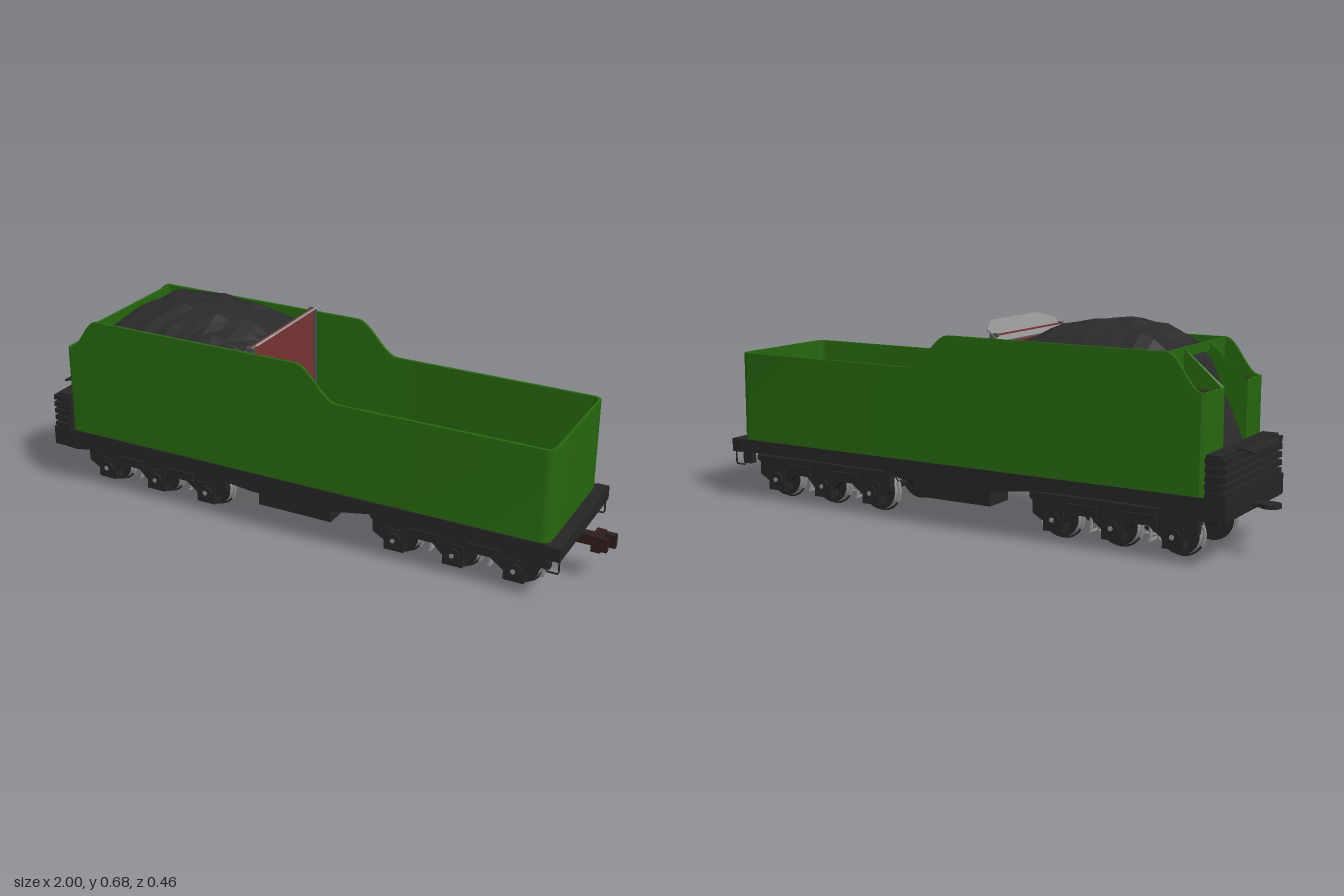
import * as THREE from 'three';
import { toCreasedNormals } from 'three/addons/utils/BufferGeometryUtils.js';

const mat = (name, color, side = THREE.FrontSide) => {
  const m = new THREE.MeshStandardMaterial({ color, side });
  m.name = name;
  return m;
};

export function createModel() {
  const root = new THREE.Group();
  root.name = 'tender';
  const green = mat('green paint', 0x27660f, THREE.DoubleSide);
  const black = mat('black iron', 0x252525);
  const coalMat = mat('coal', 0x2a2a2a, THREE.DoubleSide);
  const grey = mat('grey steel', 0x8e8e8e);
  const darkGrey = mat('dark grey frame', 0x4c4c4c);
  const red = mat('dark red', 0x783333);
  const brown = mat('brown coupler', 0x2e1d1c);

  const add = (parent, name, geo, m) => {
    const mesh = new THREE.Mesh(geo, m);
    mesh.name = name;
    parent.add(mesh);
    return mesh;
  };
  const box = (parent, name, m, x0, x1, y0, y1, z0, z1) => {
    const mesh = add(parent, name, new THREE.BoxGeometry(x1 - x0, y1 - y0, Math.abs(z1 - z0)), m);
    mesh.position.set((x0 + x1) / 2, (y0 + y1) / 2, (z0 + z1) / 2);
    return mesh;
  };
  const shape = pts => new THREE.Shape(pts.map(p => new THREE.Vector2(p[0], p[1])));
  // side profile in x/y, extruded over z0..z0+depth
  const slab = (parent, name, m, pts, z0, depth) => {
    const mesh = add(parent, name, new THREE.ExtrudeGeometry(shape(pts), { depth, bevelEnabled: false }), m);
    mesh.position.z = z0;
    return mesh;
  };
  const rod = (parent, name, m, a, b, r, sides = 8) => {
    const A = new THREE.Vector3(...a), B = new THREE.Vector3(...b);
    const mesh = add(parent, name, new THREE.CylinderGeometry(r, r, A.distanceTo(B), sides), m);
    mesh.position.copy(A).add(B).multiplyScalar(0.5);
    mesh.quaternion.setFromUnitVectors(new THREE.Vector3(0, 1, 0), B.sub(A).normalize());
    return mesh;
  };

  // ---- Tank shell: thin wall following the plan outline, top edge by a rule
  const smooth = THREE.MathUtils.smoothstep;
  const topY = x => 0.51 + 0.11 * (smooth(x, -0.835, -0.725) - smooth(x, 0.02, 0.165));
  const half = [[-0.72, 0.088], [-0.85, 0.088], [-0.85, 0.2], [-0.844, 0.214]];
  for (let i = 0; i <= 10; i++) half.push([-0.835 + i * 0.012, 0.22]);
  for (let i = 0; i <= 14; i++) half.push([0.01 + i * 0.012, 0.22]);
  for (let i = 0; i <= 5; i++) {
    const a = Math.PI / 2 * (1 - i / 5);
    half.push([0.835 + 0.03 * Math.cos(a), 0.19 + 0.03 * Math.sin(a)]);
  }
  const path = [...half, ...half.map(p => [p[0], -p[1]]).reverse()];
  const t = 0.01, pos = [];
  const section = path.map((p, i) => {
    const a = path[Math.max(i - 1, 0)], b = path[Math.min(i + 1, path.length - 1)];
    const l = Math.hypot(b[0] - a[0], b[1] - a[1]);
    const x = p[0] + t * (b[1] - a[1]) / l, z = p[1] - t * (b[0] - a[0]) / l, h = topY(p[0]);
    return [[p[0], 0.21, p[1]], [p[0], h, p[1]], [x, h, z], [x, 0.21, z]];
  });
  for (let i = 0; i + 1 < section.length; i++)
    for (let k = 0; k < 3; k++) {
      const a = section[i][k], b = section[i + 1][k], c = section[i + 1][k + 1], d = section[i][k + 1];
      pos.push(...a, ...b, ...c, ...a, ...c, ...d);
    }
  let shell = new THREE.BufferGeometry();
  shell.setAttribute('position', new THREE.Float32BufferAttribute(pos, 3));
  shell = toCreasedNormals(shell, 0.5);
  add(root, 'tankShell', shell, green);
  box(root, 'tankFloor', green, -0.84, 0.855, 0.21, 0.22, -0.21, 0.21);

  // ---- Lockers and bunker rim at the cab end
  for (const s of [1, -1]) {
    box(root, 'lockerTop', black, -0.84, -0.72, 0.49, 0.5, s * 0.095, s * 0.212);
    box(root, 'bunkerEndWall', green, -0.725, -0.715, 0.22, 0.618, s * 0.088, s * 0.212);
  }
  box(root, 'bunkerRim', green, -0.725, -0.715, 0.59, 0.618, -0.1, 0.1);
  slab(root, 'coalChute', coalMat, [[-0.84, 0.22], [-0.7, 0.22], [-0.7, 0.585], [-0.73, 0.57], [-0.84, 0.33]], -0.09, 0.18);

  // ---- Coal heap
  const heap = new THREE.PlaneGeometry(0.58, 0.42, 14, 9);
  heap.rotateX(-Math.PI / 2);
  const hp = heap.attributes.position;
  const noise = (i, j) => { const v = Math.sin(i * 12.99 + j * 78.23) * 43758.5; return v - Math.floor(v); };
  for (let i = 0; i < hp.count; i++) {
    const x = hp.getX(i) / 0.29, z = hp.getZ(i) / 0.21;
    const dome = (1 - Math.pow(Math.abs(x + 0.1 * (1 - x * x)), 2.6)) * (1 - Math.pow(Math.abs(z), 3));
    hp.setY(i, 0.578 + 0.088 * dome + (0.014 * noise(i % 15, Math.floor(i / 15)) + 0.008 * Math.sin(z * 7 + x)) * (1 - x * x * x * x));
  }
  const heapGeo = heap.toNonIndexed();
  heapGeo.computeVertexNormals();
  add(root, 'coalHeap', heapGeo, coalMat).position.x = -0.43;

  // ---- Bulkhead with sloping coal board
  box(root, 'bulkhead', red, -0.15, -0.135, 0.22, 0.632, -0.196, 0.196);
  for (const s of [1, -1]) box(root, 'bulkheadPost', darkGrey, -0.155, -0.13, 0.22, 0.635, s * 0.195, s * 0.21);
  const board = add(root, 'coalBoard', new THREE.ExtrudeGeometry(
    shape([[-0.21, 0], [0.21, 0], [0.21, 0.06], [0.14, 0.093], [-0.14, 0.093], [-0.21, 0.06]]),
    { depth: 0.006, bevelEnabled: false }), grey);
  const c = Math.cos(0.63), s0 = Math.sin(0.63);
  board.quaternion.setFromRotationMatrix(new THREE.Matrix4().makeBasis(
    new THREE.Vector3(0, 0, 1), new THREE.Vector3(c, s0, 0), new THREE.Vector3(-s0, c, 0)));
  board.position.set(-0.165, 0.609, 0);

  // ---- Underframe
  const sill = [[-0.92, 0.21], [-0.92, 0.145], [-0.83, 0.14], [-0.7, 0.167], [-0.33, 0.167], [-0.14, 0.145],
    [0.16, 0.145], [0.28, 0.167], [0.905, 0.167], [0.905, 0.21]];
  for (const s of [1, -1]) {
    slab(root, 'sideSill', black, sill, s > 0 ? 0.19 : -0.225, 0.035);
    box(root, 'underTank', black, -0.125, 0.138, 0.09, 0.15, s * 0.09, s * 0.2);
    box(root, 'endBracket', black, 0.835, 0.87, 0.125, 0.17, s * 0.19, s * 0.215);
    add(root, 'stepStirrup', new THREE.TubeGeometry(new THREE.CatmullRomCurve3(
      [[0.86, 0.17], [0.86, 0.12], [0.9, 0.12], [0.9, 0.17]].map(p => new THREE.Vector3(p[0], p[1], s * 0.216)),
      false, 'catmullrom', 0.05), 16, 0.003, 5), black);
  }
  box(root, 'centreSill', black, -0.85, 0.88, 0.15, 0.209, -0.045, 0.045);
  for (const x of [-0.54, -0.27, -0.06, 0.07, 0.27, 0.545]) box(root, 'crossBeam', black, x - 0.03, x + 0.03, 0.165, 0.209, -0.2, 0.2);
  box(root, 'rearBeam', black, 0.865, 0.905, 0.165, 0.21, -0.23, 0.23);
  box(root, 'frontBeam', black, -0.92, -0.83, 0.145, 0.21, -0.228, 0.228);

  // ---- Ridged buffer at the cab end, fall plate and drawbar
  for (let i = 0; i < 5; i++) {
    const y = 0.21 + i * 0.025;
    box(root, 'bufferRidge', black, -0.915, -0.852, y, y + 0.017, -0.225, 0.225);
    box(root, 'bufferGroove', black, -0.903, -0.852, y + 0.017, y + 0.025, -0.218, 0.218);
  }
  slab(root, 'fallPlate', black, [[-0.955, 0.332], [-0.92, 0.342], [-0.89, 0.335], [-0.89, 0.329], [-0.92, 0.336], [-0.955, 0.326]], -0.11, 0.22);
  box(root, 'drawbar', black, -0.97, -0.83, 0.153, 0.165, -0.018, 0.018);
  rod(root, 'drawbarEye', black, [-0.968, 0.153, 0], [-0.968, 0.165, 0], 0.032, 16);

  // ---- Coupler at the rear
  box(root, 'couplerShank', brown, 0.83, 0.95, 0.125, 0.158, -0.016, 0.016);
  box(root, 'couplerHead', brown, 0.935, 0.965, 0.112, 0.166, -0.03, 0.03);
  box(root, 'couplerKnuckle', brown, 0.965, 1, 0.118, 0.162, -0.028, -0.008);
  box(root, 'couplerGuard', brown, 0.96, 0.985, 0.118, 0.162, 0.012, 0.03);

  // ---- Six-wheel bogies
  const frame = [[-0.275, 0.15], [-0.275, 0.085], [-0.24, 0.065], [-0.16, 0.065], [-0.12, 0.095], [-0.07, 0.095],
    [-0.04, 0.065], [0.04, 0.065], [0.07, 0.095], [0.12, 0.095], [0.16, 0.065], [0.24, 0.065], [0.275, 0.085], [0.275, 0.15]];
  // dipped end beam, drawn in z/y
  const dip = [], upper = [];
  for (let i = 0; i <= 20; i++) {
    const z = -0.18 + i * 0.018, y = 0.085 + 0.043 * smooth(Math.abs(z), 0.02, 0.11);
    dip.push([z, y]);
    upper.unshift([z, y + 0.024]);
  }
  const makeBogie = cx => {
    const g = new THREE.Group();
    g.name = 'bogie';
    g.position.x = cx;
    root.add(g);
    for (const s of [1, -1]) {
      slab(g, 'bogieSideFrame', black, frame, s > 0 ? 0.15 : -0.178, 0.028);
      box(g, 'bogieTopRail', black, -0.28, 0.28, 0.135, 0.152, s * 0.14, s * 0.188);
      for (const x of [-0.1, 0.1]) {
        box(g, 'springPack', black, x - 0.05, x + 0.05, 0.1, 0.13, s * 0.176, s * 0.187);
        rod(g, 'brakeHanger', grey, [x, 0.135, s * 0.12], [x, 0.035, s * 0.12], 0.006);
      }
    }
    for (const x of [-0.265, 0.265]) {
      const beam = add(g, 'bogieEndBeam', new THREE.ExtrudeGeometry(shape([...dip, ...upper]), { depth: 0.03, bevelEnabled: false }), black);
      beam.rotation.y = Math.PI / 2;
      beam.position.x = x - 0.015;
    }
    box(g, 'bolster', black, -0.05, 0.05, 0.115, 0.148, -0.15, 0.15);
    box(g, 'bogieCentreBeam', black, -0.26, 0.26, 0.095, 0.12, -0.03, 0.03);
    rod(g, 'pivot', black, [0, 0.14, 0], [0, 0.17, 0], 0.045, 16);
    for (const x of [-0.2, 0, 0.2]) {
      rod(g, 'axle', black, [x, 0.073, -0.17], [x, 0.073, 0.17], 0.012, 12);
      for (const s of [1, -1]) {
        const tread = add(g, 'wheel', new THREE.CylinderGeometry(0.064, 0.067, 0.024, 28), [grey, black, black]);
        tread.position.set(x, 0.073, s * 0.122);
        tread.rotation.x = s * Math.PI / 2;
        const flange = rod(g, 'wheelFlange', black, [x, 0.073, s * 0.106], [x, 0.073, s * 0.111], 0.073, 28);
        flange.material = [grey, black, black];
        box(g, 'journalBox', black, x - 0.034, x + 0.034, 0.035, 0.11, s * 0.142, s * 0.183);
        rod(g, 'journalCap', black, [x, 0.073, s * 0.18], [x, 0.073, s * 0.19], 0.026, 16);
        rod(g, 'journalRing', grey, [x, 0.073, s * 0.188], [x, 0.073, s * 0.192], 0.008, 10);
        // brake shoes either side of the wheel
        for (const a of [-0.45, Math.PI - 0.45]) {
          const shoe = add(g, 'brakeShoe', new THREE.TorusGeometry(0.075, 0.006, 5, 8, 0.9), grey);
          shoe.position.set(x, 0.073, s * 0.122);
          shoe.rotation.z = a;
        }
      }
    }
    for (const x of [-0.1, 0.1]) {
      for (const y of [0.035, 0.138]) rod(g, 'brakeRod', grey, [x, y, -0.13], [x, y, 0.13], 0.005);
      for (const z of [-0.048, 0.048]) rod(g, 'brakeLever', grey, [x, 0.03, z], [x, 0.138, z], 0.005);
    }
    for (const z of [-0.048, 0.048]) rod(g, 'brakePullRod', grey, [-0.1, 0.035, z], [0.1, 0.035, z], 0.005);
  };
  [-0.54, 0.55].forEach(makeBogie);
  return root;
}
